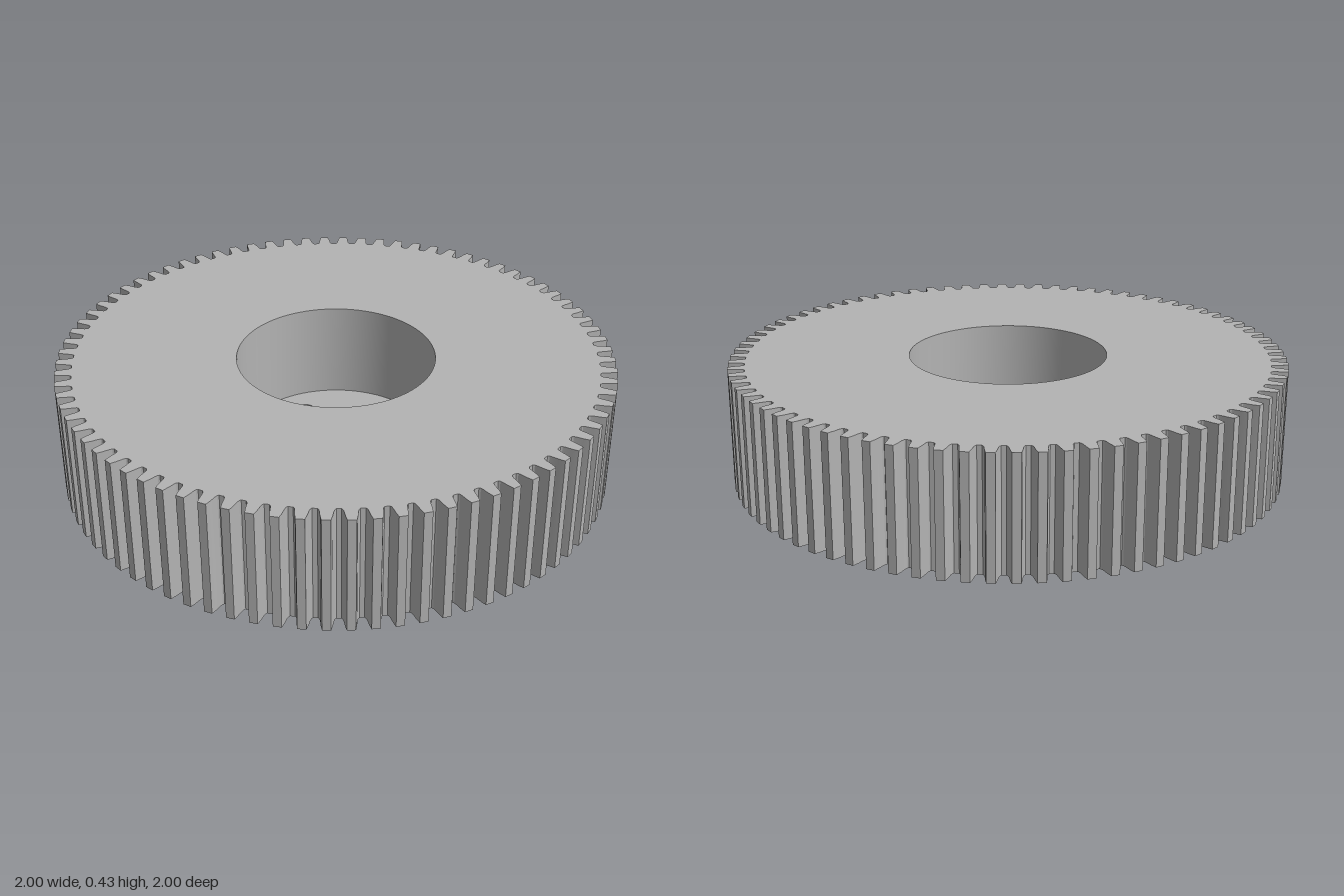
import * as THREE from 'three';
import { toCreasedNormals } from 'three/addons/utils/BufferGeometryUtils.js';

const TEETH = 80;
const HEIGHT = 0.43;
const FLOOR = 0.07;
const BORE = 0.357;
const HOLE = 0.041;
const HOLE_RING = 0.239;

// Half of one tooth: [radius, half angle as a fraction of the pitch]
const TOOTH = [[0.941, 0.39], [0.946, 0.33], [0.955, 0.295], [0.978, 0.25], [1, 0.185]];

// Counter-clockwise gear outline with a tooth centred on each axis
function gearOutline() {
  const points = [];
  const pitch = (Math.PI * 2) / TEETH;
  const add = (r, a) => points.push(new THREE.Vector2(r * Math.cos(a), r * Math.sin(a)));
  for (let i = 0; i < TEETH; i++) {
    TOOTH.forEach(([r, f]) => add(r, (i - f) * pitch));
    [...TOOTH].reverse().forEach(([r, f]) => add(r, (i + f) * pitch));
  }
  return points;
}

function circle(radius, sides, cx = 0, cy = 0) {
  return Array.from({ length: sides }, (_, i) => {
    const a = (i / sides) * Math.PI * 2;
    return new THREE.Vector2(cx + radius * Math.cos(a), cy + radius * Math.sin(a));
  });
}

// Flat face with holes at height y, facing up or down
function cap(outline, holes, y, up) {
  const shape = new THREE.Shape(outline);
  holes.forEach((h) => shape.holes.push(new THREE.Path(h)));
  const geometry = new THREE.ShapeGeometry(shape);
  geometry.rotateX(up ? -Math.PI / 2 : Math.PI / 2);
  return geometry.translate(0, y, 0);
}

// Upright wall along a closed outline; reversed outlines face inwards
function wall(outline, y0, y1, crease) {
  const pos = [];
  outline.forEach((p, i) => {
    const q = outline[(i + 1) % outline.length];
    const a = [p.x, y0, -p.y], b = [q.x, y0, -q.y];
    const c = [q.x, y1, -q.y], d = [p.x, y1, -p.y];
    pos.push(...a, ...b, ...c, ...a, ...c, ...d);
  });
  const geometry = new THREE.BufferGeometry();
  geometry.setAttribute('position', new THREE.Float32BufferAttribute(pos, 3));
  return toCreasedNormals(geometry, crease);
}

export function createModel() {
  const group = new THREE.Group();
  const metal = new THREE.MeshStandardMaterial({ color: 0xb3b3b3 });
  metal.name = 'grey metal';
  const add = (name, geometry) => {
    const mesh = new THREE.Mesh(geometry, metal);
    mesh.name = name;
    group.add(mesh);
  };

  const gear = gearOutline();
  const bore = circle(BORE, 96);
  const holes = [[1, 0], [0, 1], [-1, 0], [0, -1]].map(([x, y]) =>
    circle(HOLE, 32, x * HOLE_RING, y * HOLE_RING));

  // Toothed rim and the two outer faces
  add('toothedRim', wall(gear, 0, HEIGHT, 0.2));
  add('topFace', cap(gear, [bore], HEIGHT, true));
  add('bottomFace', cap(gear, holes, 0, false));

  // Deep central recess with a thin floor
  add('recessWall', wall([...bore].reverse(), FLOOR, HEIGHT, 0.5));
  add('recessFloor', cap(bore, holes, FLOOR, true));

  // Four bolt holes through the floor
  holes.forEach((h) => add('boltHole', wall([...h].reverse(), 0, FLOOR, 0.5)));

  return group;
}
